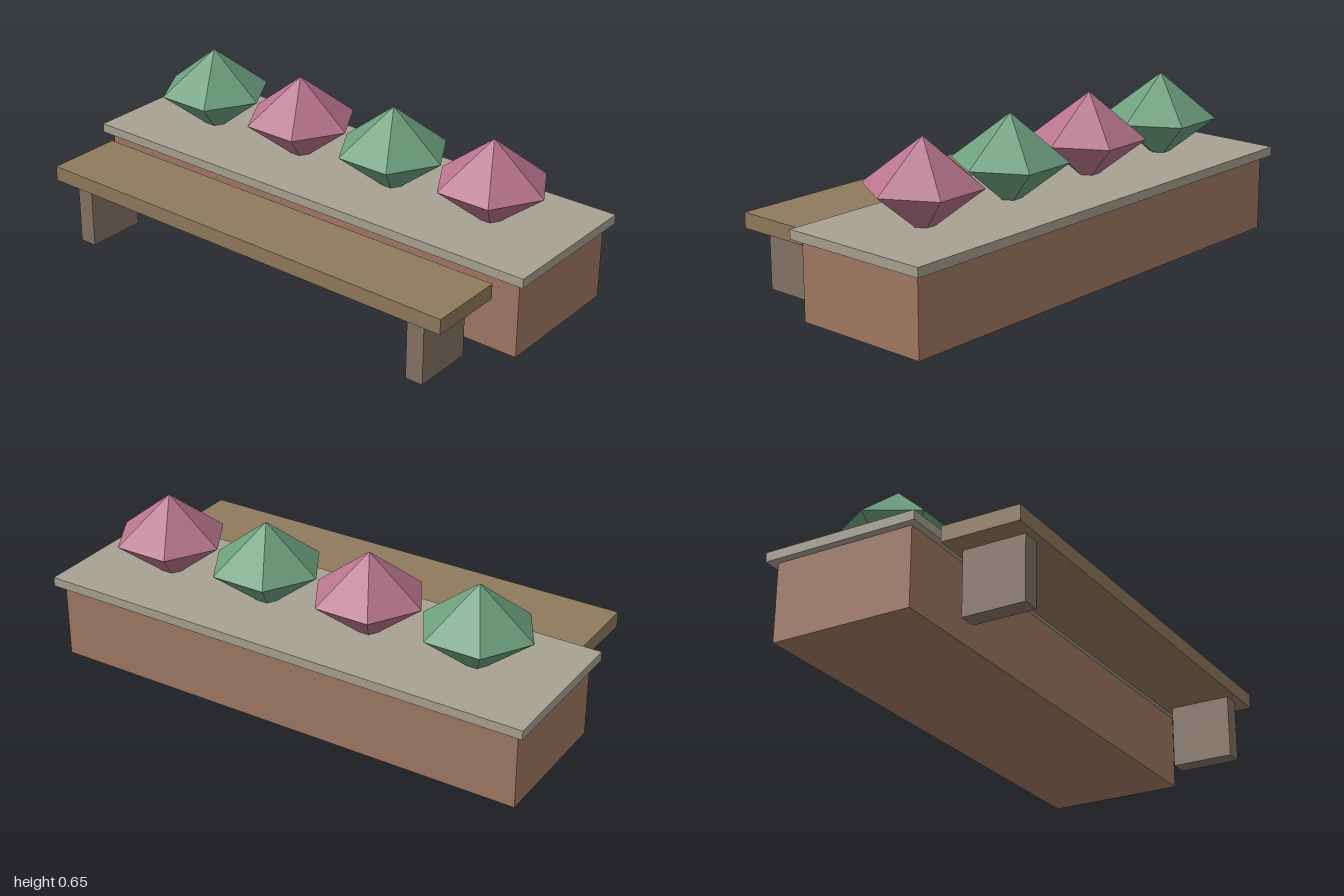
import * as THREE from 'three';

const paint = (color) => new THREE.MeshStandardMaterial({ color, flatShading: true });
const BRICK = paint(0xa07863);
const STONE = paint(0xa8a193);
const WOOD = paint(0x8f7a5c);
const LEG = paint(0x857366);
const GREEN = paint(0x6c9f7e);
const PINK = paint(0xb8748c);

// Box given by its minimum and maximum corners
function box(name, material, [x0, y0, z0], [x1, y1, z1]) {
  const mesh = new THREE.Mesh(new THREE.BoxGeometry(x1 - x0, y1 - y0, z1 - z0), material);
  mesh.name = name;
  mesh.position.set((x0 + x1) / 2, (y0 + y1) / 2, (z0 + z1) / 2);
  return mesh;
}

export function createModel() {
  const model = new THREE.Group();
  model.name = 'planterWithBench';

  // Brick planter with an overhanging stone cap
  const planter = new THREE.Group();
  planter.name = 'planter';
  planter.add(
    box('planterBase', BRICK, [-0.97, 0, -0.446], [0.97, 0.299, 0.102]),
    box('planterCap', STONE, [-1, 0.299, -0.477], [1, 0.335, 0.13]),
  );

  // Row of six-sided shrubs, sunk slightly into the cap
  const shrubGeometry = new THREE.SphereGeometry(0.217, 6, 2).scale(1, 0.8, 1);
  for (let i = 0; i < 4; i++) {
    const shrub = new THREE.Mesh(shrubGeometry, i % 2 ? PINK : GREEN);
    shrub.name = 'shrub' + (i + 1);
    shrub.position.set((i - 1.5) * 0.442, 0.475, -0.173);
    planter.add(shrub);
  }

  // Bench in front of the planter
  const bench = new THREE.Group();
  bench.name = 'bench';
  bench.add(box('benchSeat', WOOD, [-0.907, 0.245, 0.175], [0.907, 0.304, 0.477]));
  for (const side of [-1, 1]) {
    const x = side * 0.786;
    bench.add(box(side > 0 ? 'leftLeg' : 'rightLeg', LEG, [x - 0.035, 0, 0.206], [x + 0.035, 0.245, 0.447]));
  }

  model.add(planter, bench);
  return model;
}
